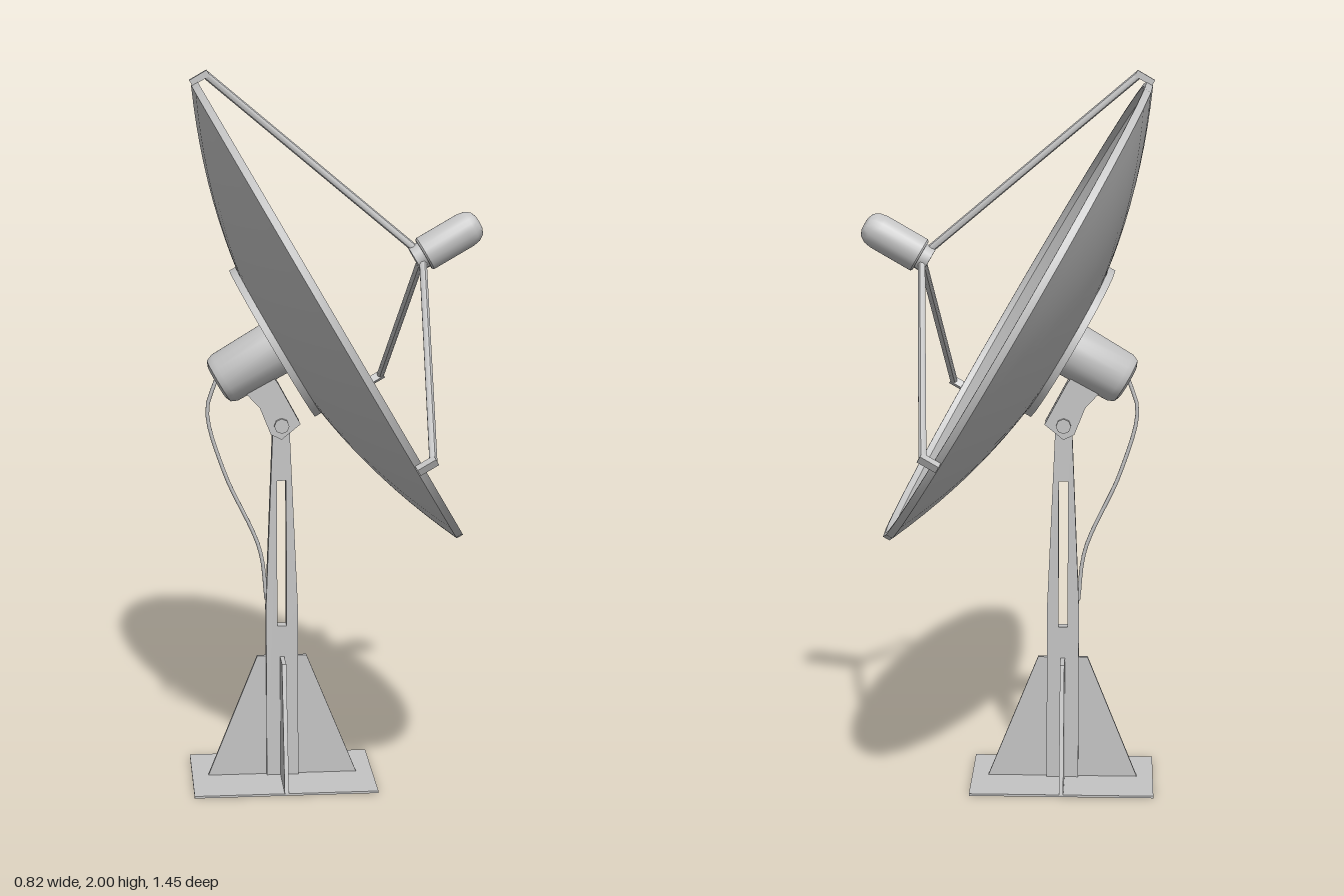
import * as THREE from 'three';
import { toCreasedNormals } from 'three/addons/utils/BufferGeometryUtils.js';

const V2 = (a) => a.map(([x, y]) => new THREE.Vector2(x, y));
const V3 = (a) => new THREE.Vector3(...a);

export function createModel() {
  const root = new THREE.Group();
  root.name = 'dishAntenna';
  const grey = new THREE.MeshStandardMaterial({ color: 0xc4c4c4 });
  grey.name = 'light grey metal';

  function add(parent, name, geo, pos = [0, 0, 0]) {
    const mesh = new THREE.Mesh(geo, grey);
    mesh.name = name;
    mesh.position.set(...pos);
    parent.add(mesh);
    return mesh;
  }
  // flat plate cut from an outline, centred on its thickness
  function plate(outline, depth, hole) {
    const shape = new THREE.Shape(V2(outline));
    if (hole) shape.holes.push(new THREE.Path(V2(hole)));
    return new THREE.ExtrudeGeometry(shape, { depth, bevelEnabled: false }).translate(0, 0, -depth / 2);
  }
  function rod(parent, name, a, b, radius) {
    const from = V3(a), dir = V3(b).sub(from);
    const m = add(parent, name, toCreasedNormals(new THREE.CylinderGeometry(radius, radius, dir.length(), 8), 0.9));
    m.position.copy(from).addScaledVector(dir, 0.5);
    m.quaternion.setFromUnitVectors(new THREE.Vector3(0, 1, 0), dir.normalize());
    return m;
  }
  const turned = (pts, sides, crease = 0.6) => toCreasedNormals(new THREE.LatheGeometry(V2(pts), sides), crease);

  // stand
  const mastX = -0.155;
  add(root, 'basePlate', new THREE.BoxGeometry(0.515, 0.006, 0.37), [mastX, 0.003, 0]);
  add(root, 'mast', plate(
    [[-0.045, 0], [0.045, 0], [0.045, 0.5], [0.023, 1.02], [0.012, 1.045], [-0.012, 1.045], [-0.023, 1.02], [-0.045, 0.5]],
    0.036,
    [[-0.013, 0.445], [-0.013, 0.865], [0.013, 0.865], [0.013, 0.445]]), [mastX, 0, 0]);
  for (const s of [1, -1]) {
    const side = s > 0 ? 'front' : 'back';
    const fin = add(root, side + 'Gusset', plate([[0, 0.004], [0.185, 0.004], [0.095, 0.355], [0, 0.355]], 0.012), [mastX, 0, 0]);
    fin.rotation.y = -s * Math.PI / 2;
    const wing = add(root, s > 0 ? 'leftGusset' : 'rightGusset',
      plate([[0, 0.004], [0.212, 0.004], [0.07, 0.355], [0, 0.355]], 0.012), [mastX, 0, 0]);
    wing.rotation.y = s > 0 ? 0 : Math.PI;
    // tilting bracket cheeks on both sides of the mast
    add(root, side + 'BracketCheek', plate(
      [[-0.275, 1.14], [-0.215, 1.075], [-0.185, 1.0], [-0.155, 0.985], [-0.102, 1.028], [-0.165, 1.145], [-0.2, 1.19]], 0.014),
      [0, 0, s * 0.026]);
  }
  rod(root, 'pivotPin', [mastX, 1.025, -0.045], [mastX, 1.025, 0.045], 0.021);

  // tilted head: local +y is the pointing axis, local -x is the upper edge
  const head = new THREE.Group();
  head.name = 'dishHead';
  head.position.set(-0.015, 1.345, 0);
  head.rotation.z = -Math.PI / 3;
  root.add(head);

  // parabolic shell with a lip and an open centre
  const R = 0.725, hole = 0.222;
  const bowl = (r) => -0.02 - 0.165 * (1 - (r / R) ** 2);
  const curve = (from, to, lift) => Array.from({ length: 11 }, (_, i) => {
    const r = from + (to - from) * i / 10;
    return [r, bowl(r) + lift];
  });
  const skin = (pts) => new THREE.LatheGeometry(V2(pts), 32);
  add(head, 'dishBack', skin(curve(hole, R, 0)));
  add(head, 'dishFace', skin(curve(0.712, hole, 0.008)));
  add(head, 'dishLip', turned([[R, -0.02], [R, 0], [0.712, 0], [0.712, bowl(0.712) + 0.008]], 32));
  add(head, 'dishHoleEdge', skin([[hole, bowl(hole) + 0.008], [hole, bowl(hole)]]));
  add(head, 'hubPlate', toCreasedNormals(new THREE.CylinderGeometry(0.236, 0.236, 0.02, 20), 0.6), [0, -0.178, 0]);

  // rear housing
  add(head, 'rearHousing', turned(
    [[0, -0.375], [0.05, -0.375], [0.066, -0.368], [0.074, -0.35], [0.078, -0.18], [0, -0.18]], 20), [0.015, 0, 0]);

  // feed horn
  add(head, 'feedHorn', turned(
    [[0, 0.298], [0.046, 0.298], [0.05, 0.303], [0.05, 0.43], [0.046, 0.452], [0.035, 0.468], [0.018, 0.475], [0, 0.476]], 20));
  add(head, 'feedCollar', turned([[0, 0.27], [0.038, 0.27], [0.038, 0.298], [0, 0.298]], 12));

  // three struts with rim clips
  [Math.PI, Math.PI / 3, -Math.PI / 3].forEach((a, i) => {
    const arm = new THREE.Group();
    arm.name = ['top', 'left', 'right'][i] + 'Strut';
    arm.rotation.y = a;
    head.add(arm);
    add(arm, 'rimClip', new THREE.BoxGeometry(0.018, 0.055, 0.022), [0.731, 0.01, 0]);
    rod(arm, 'strutRod', [0.732, 0.028, 0], [0.03, 0.284, 0], 0.011);
  });

  // cable from the housing down to the mast
  const path = new THREE.CatmullRomCurve3(
    [[-0.335, 1.15], [-0.36, 1.065], [-0.314, 0.889], [-0.216, 0.665], [-0.198, 0.52]].map(([x, y]) => V3([x, y, 0])));
  add(root, 'cable', new THREE.TubeGeometry(path, 20, 0.006, 6));
  return root;
}
